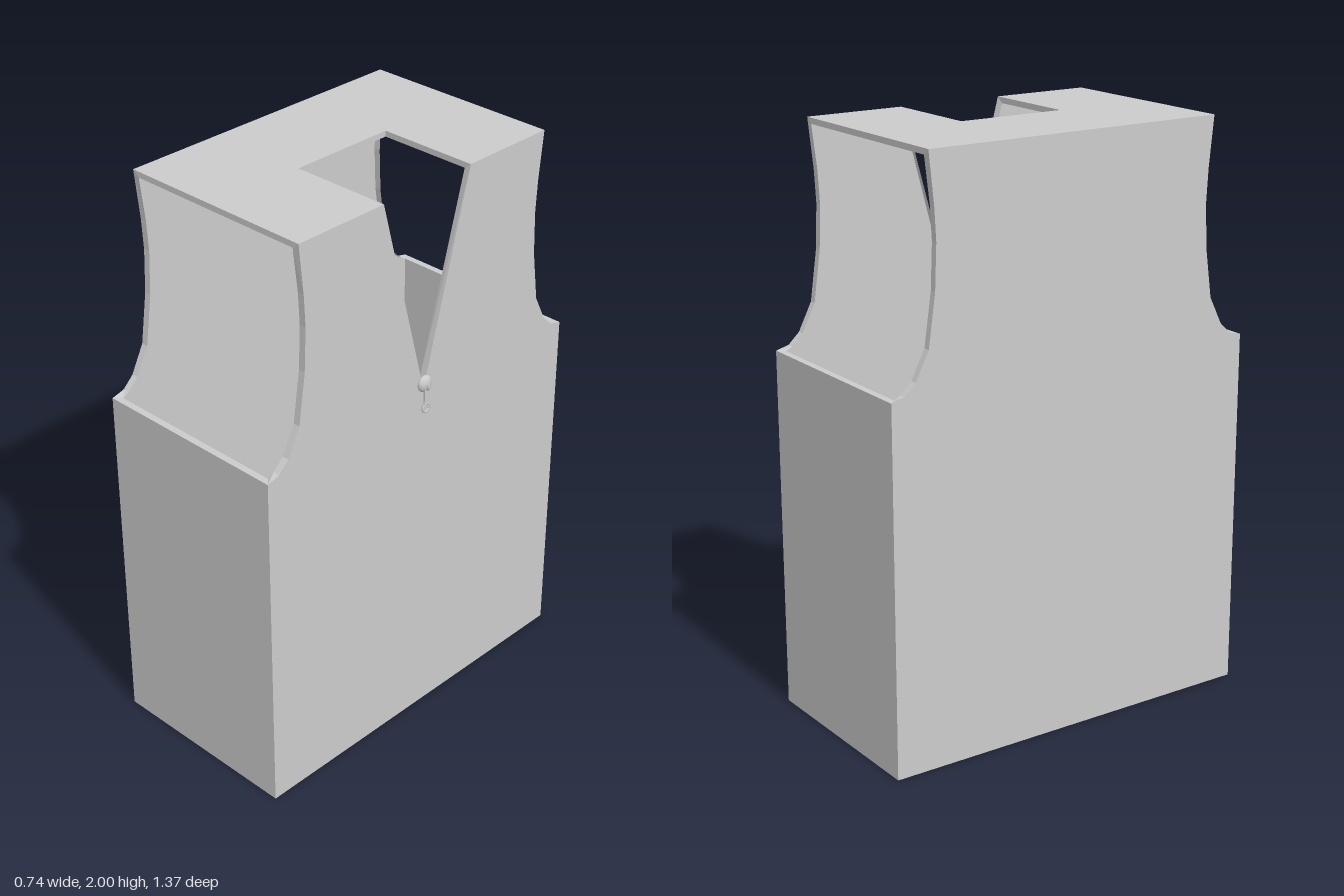
import * as THREE from 'three';

const BACK = -0.365, CHEST = 0.345, TOP = 2, HALF = 0.687, ARM_Y = 1.25, RIM = 0.024;
const NECK_Z = 0.193, NECK_X = -0.01, NECK_TIP = 1.285;

// armhole edge as [z, y], from the side panel up to the shoulder
const ARM = [[HALF, ARM_Y], [0.64, 1.262], [0.6, 1.3], [0.552, 1.395], [0.527, 1.57],
  [0.521, 1.72], [0.527, 1.83], [0.545, TOP]];
const SHOULDER = ARM[ARM.length - 1][0];

const cloth = new THREE.MeshStandardMaterial({ color: 0xcccccc, side: THREE.DoubleSide, flatShading: true });
const metal = new THREE.MeshStandardMaterial({ color: 0xcccccc });

const shapeOf = (pts) => new THREE.ShapeGeometry(new THREE.Shape(pts.map((p) => new THREE.Vector2(p[0], p[1]))));

function mesh(name, geometry, material = cloth) {
  const m = new THREE.Mesh(geometry, material);
  m.name = name;
  return m;
}

// closed ribbon between an outer loop and an inner loop
function ribbon(outer, inner) {
  const pos = [], n = outer.length;
  for (let i = 0; i < n; i++) {
    const j = (i + 1) % n;
    pos.push(...outer[i], ...outer[j], ...inner[j], ...outer[i], ...inner[j], ...inner[i]);
  }
  const g = new THREE.BufferGeometry();
  g.setAttribute('position', new THREE.Float32BufferAttribute(pos, 3));
  g.computeVertexNormals();
  return g;
}

// chest or back outline, with the V cut out of the chest
function panelOutline(notch) {
  const right = ARM.map(([z, y]) => [z, y]);
  const left = ARM.map(([z, y]) => [-z, y]).reverse();
  const v = notch ? [[NECK_Z, TOP], [0, NECK_TIP], [-NECK_Z, TOP]] : [];
  return [[-HALF, 0], [HALF, 0], ...right, ...v, ...left];
}

// turned-in edge of one armhole
function armRim(s) {
  const last = ARM.length - 1;
  const outer = [], inner = [];
  const add = (x, inset, [z, y], i) => {
    outer.push([x, y, s * z]);
    inner.push([x + inset, i === last ? y - 0.02 : y, s * (i === 0 ? z - RIM : z)]);
  };
  ARM.forEach((p, i) => add(CHEST, -RIM, p, i));
  for (let i = last; i >= 0; i--) add(BACK, RIM, ARM[i], i);
  return ribbon(outer, inner);
}

export function createModel() {
  const vest = new THREE.Group();
  vest.name = 'vest';

  // chest and back panels
  vest.add(mesh('chestPanel', shapeOf(panelOutline(true)).rotateY(Math.PI / 2).translate(CHEST, 0, 0)));
  vest.add(mesh('backPanel', shapeOf(panelOutline(false)).rotateY(-Math.PI / 2).translate(BACK, 0, 0)));

  // shoulders, with the square neck opening
  const top = shapeOf([[BACK, -SHOULDER], [CHEST, -SHOULDER], [CHEST, -NECK_Z], [NECK_X, -NECK_Z],
    [NECK_X, NECK_Z], [CHEST, NECK_Z], [CHEST, SHOULDER], [BACK, SHOULDER]]);
  vest.add(mesh('shoulders', top.rotateX(-Math.PI / 2).translate(0, TOP, 0)));

  // side panels and armhole edges
  for (const s of [1, -1]) {
    const side = new THREE.PlaneGeometry(CHEST - BACK, ARM_Y);
    if (s < 0) side.rotateY(Math.PI);
    side.translate((CHEST + BACK) / 2, ARM_Y / 2, s * HALF);
    const label = s > 0 ? 'front' : 'rear';
    vest.add(mesh(label + 'SidePanel', side));
    vest.add(mesh(label + 'ArmholeEdge', armRim(s)));
  }

  // turned-in neckline edge
  const neck = [[CHEST, NECK_TIP, 0], [CHEST, TOP, NECK_Z], [NECK_X, TOP, NECK_Z],
    [NECK_X, TOP, -NECK_Z], [CHEST, TOP, -NECK_Z]];
  const neckInner = neck.map(([x, y, z]) => [x === CHEST ? x - RIM : x, y === TOP ? y - 0.02 : y, z]);
  vest.add(mesh('necklineEdge', ribbon(neck, neckInner)));

  // zip slider and pull tab
  const zip = new THREE.Group();
  zip.name = 'zip';
  zip.position.set(CHEST, 0, 0);
  const slider = mesh('zipSlider', new THREE.SphereGeometry(0.029, 16, 10), metal);
  slider.scale.x = 0.55;
  slider.position.set(0.004, 1.307, 0);
  const loop = mesh('zipLoop', new THREE.TorusGeometry(0.012, 0.004, 6, 14), metal);
  loop.position.set(0.012, 1.3, 0);
  const tab = mesh('zipTab', new THREE.BoxGeometry(0.006, 0.07, 0.02), metal);
  tab.position.set(0.013, 1.258, 0);
  const end = mesh('zipTabEnd', new THREE.TorusGeometry(0.015, 0.005, 6, 16).rotateY(Math.PI / 2), metal);
  end.position.set(0.013, 1.221, 0);
  zip.add(slider, loop, tab, end);
  vest.add(zip);

  return vest;
}
